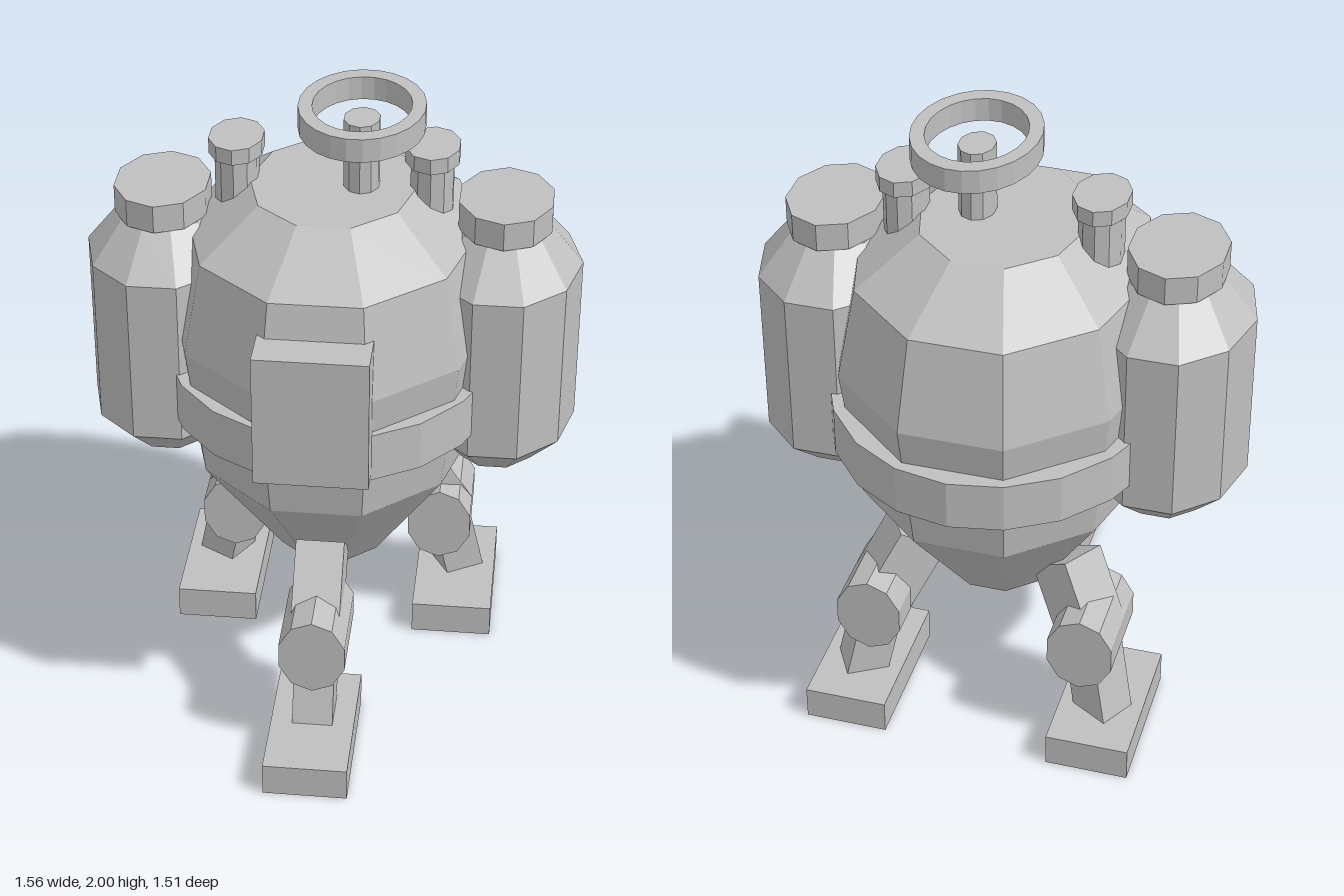
import * as THREE from 'three';

const SX = 0.84; // the hull is narrower across than it is long
const CZ = -0.12; // z of the hull axis

export function createModel() {
  const model = new THREE.Group();
  model.name = 'walkingPod';
  const grey = new THREE.MeshStandardMaterial({ color: 0xbfbfbf, flatShading: true });
  grey.name = 'plain grey';

  function add(name, geometry, x, y, z, parent = model) {
    const mesh = new THREE.Mesh(geometry, grey);
    mesh.name = name;
    mesh.position.set(x, y, z);
    parent.add(mesh);
    return mesh;
  }

  // Ten-sided turned shape with a flat side facing front
  function turned(profile, scaleX, sides = 10) {
    const points = profile.map(([r, y]) => new THREE.Vector2(r, y));
    return new THREE.LatheGeometry(points, sides).rotateY(Math.PI / sides).scale(scaleX, 1, 1);
  }

  // Upright oval cylinder between two heights
  function ovalCylinder(rx, rz, y0, y1, sides) {
    return new THREE.CylinderGeometry(1, 1, y1 - y0, sides).scale(rx, 1, rz).translate(0, (y0 + y1) / 2, 0);
  }

  // Square bar between two points, turned to face along "angle" around y
  function bar(name, a, b, width, depth, angle, parent) {
    const up = b.clone().sub(a);
    const length = up.length();
    up.normalize();
    const side = new THREE.Vector3(Math.cos(angle), 0, -Math.sin(angle));
    side.addScaledVector(up, -side.dot(up)).normalize();
    const out = new THREE.Vector3().crossVectors(side, up);
    const mid = a.clone().add(b).multiplyScalar(0.5);
    const mesh = add(name, new THREE.BoxGeometry(width, length, depth), mid.x, mid.y, mid.z, parent);
    mesh.quaternion.setFromRotationMatrix(new THREE.Matrix4().makeBasis(side, up, out));
  }

  // Hull, belt and front hatch
  add('hull', turned([[0, 0.445], [0.23, 0.445], [0.55, 0.845], [0.62, 1.3], [0.55, 1.59], [0.312, 1.73], [0, 1.73]], SX), 0, 0, CZ);
  add('belt', ovalCylinder(0.54, 0.624, 1.02, 1.18, 20), 0, 0, -0.131);
  add('frontHatch', new THREE.BoxGeometry(0.35, 0.435, 0.3), 0, 1.265, 0.4);

  // Hand wheel on its post
  const wheel = new THREE.Group();
  wheel.name = 'handWheel';
  wheel.position.set(0.087, 0, -0.115);
  model.add(wheel);
  add('post', ovalCylinder(0.057, 0.071, 1.65, 1.955, 10), 0, 0, 0, wheel);
  const rim = [[0.78, 1.925], [1, 1.925], [1, 2], [0.78, 2], [0.78, 1.925]];
  add('rim', turned(rim, 1, 24).scale(0.195, 1, 0.244), 0, 0, 0, wheel);

  // Side tanks and exhaust pipes
  for (const s of [1, -1]) {
    add('tank', turned([[0, 0.82], [0.18, 0.82], [0.313, 0.94], [0.313, 1.49], [0.18, 1.62], [0, 1.62]], 0.8), s * 0.53, 0, CZ);
    add('tankCap', ovalCylinder(0.151, 0.19, 1.62, 1.71, 10), s * 0.535, 0, CZ);
    add('pipe', ovalCylinder(0.069, 0.088, 1.4, 1.83, 10), s * 0.303, 0, -0.142);
    add('pipeCap', ovalCylinder(0.087, 0.116, 1.815, 1.865, 10), s * 0.303, 0, -0.142);
  }

  // Three legs, one in front and two behind
  const legs = [
    { name: 'frontLeg', angle: 0, foot: [0, 0.513], knee: [0, 0.398] },
    { name: 'backLeftLeg', angle: Math.PI * 2 / 3, foot: [0.405, -0.372], knee: [0.35, -0.365] },
    { name: 'backRightLeg', angle: -Math.PI * 2 / 3, foot: [-0.405, -0.372], knee: [-0.35, -0.365] },
  ];
  for (const { name, angle, foot, knee } of legs) {
    const leg = new THREE.Group();
    leg.name = name;
    model.add(leg);
    const at = (r, y) => new THREE.Vector3(Math.sin(angle) * r * SX, y, CZ + Math.cos(angle) * r);
    const ankle = at(0.6, 0.07);
    if (angle) ankle.x = Math.sign(angle) * 0.415;
    const kneeCentre = new THREE.Vector3(knee[0], 0.39, knee[1]);
    const shin = angle ? kneeCentre.clone() : at(0.49, 0.39);
    bar('thigh', kneeCentre, at(0.34, 0.6), 0.155, 0.17, angle, leg);
    bar('shin', ankle, shin, 0.13, 0.135, angle, leg);
    add('knee', new THREE.CylinderGeometry(1, 1, 0.295, 10).rotateX(Math.PI / 2).scale(0.11, 0.133, 1), knee[0], 0.388, knee[1], leg);
    add('foot', new THREE.BoxGeometry(0.268, 0.11, 0.485), foot[0], 0.055, foot[1], leg);
  }
  return model;
}
